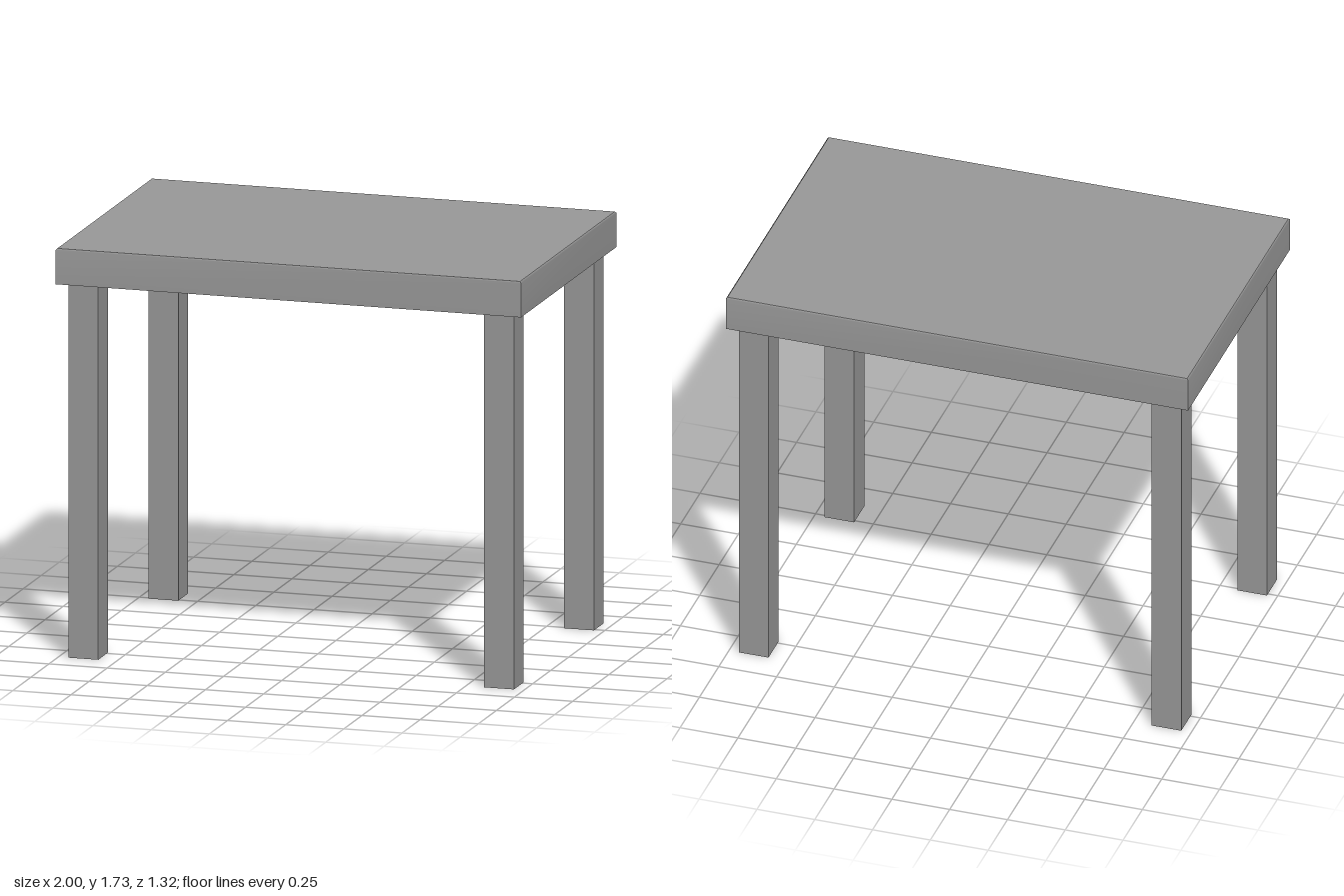
import * as THREE from 'three';

const WIDTH = 2, DEPTH = 1.32, HEIGHT = 1.73, THICKNESS = 0.15, BEVEL = 0.006;
const LEG_WIDTH = 0.128, LEG_DEPTH = 0.132, LEG_X = 0.893, LEG_Z = 0.553;

// Slab with a fine bevel around its upper edge only
function tabletopGeometry() {
  const geometry = new THREE.BoxGeometry(WIDTH, THICKNESS, DEPTH, 1, 2, 1);
  const p = geometry.attributes.position;
  for (let i = 0; i < p.count; i++) {
    const x = p.getX(i), y = p.getY(i), z = p.getZ(i);
    if (Math.abs(y) < 1e-6) {
      p.setY(i, THICKNESS / 2 - BEVEL);
    } else if (y > 0) {
      p.setX(i, x - Math.sign(x) * BEVEL);
      p.setZ(i, z - Math.sign(z) * BEVEL);
    }
  }
  geometry.computeVertexNormals();
  return geometry;
}

export function createModel() {
  const table = new THREE.Group();
  table.name = 'table';
  const material = new THREE.MeshStandardMaterial({ color: 0x9a9a9a });

  const top = new THREE.Mesh(tabletopGeometry(), material);
  top.name = 'tabletop';
  top.position.y = HEIGHT - THICKNESS / 2;
  table.add(top);

  // Four legs, mirrored across both axes
  const legHeight = HEIGHT - THICKNESS;
  const legGeometry = new THREE.BoxGeometry(LEG_WIDTH, legHeight, LEG_DEPTH);
  for (const [side, sx] of [['Left', 1], ['Right', -1]]) {
    for (const [end, sz] of [['front', 1], ['back', -1]]) {
      const leg = new THREE.Mesh(legGeometry, material);
      leg.name = `${end}${side}Leg`;
      leg.position.set(sx * LEG_X, legHeight / 2, sz * LEG_Z);
      table.add(leg);
    }
  }
  return table;
}
